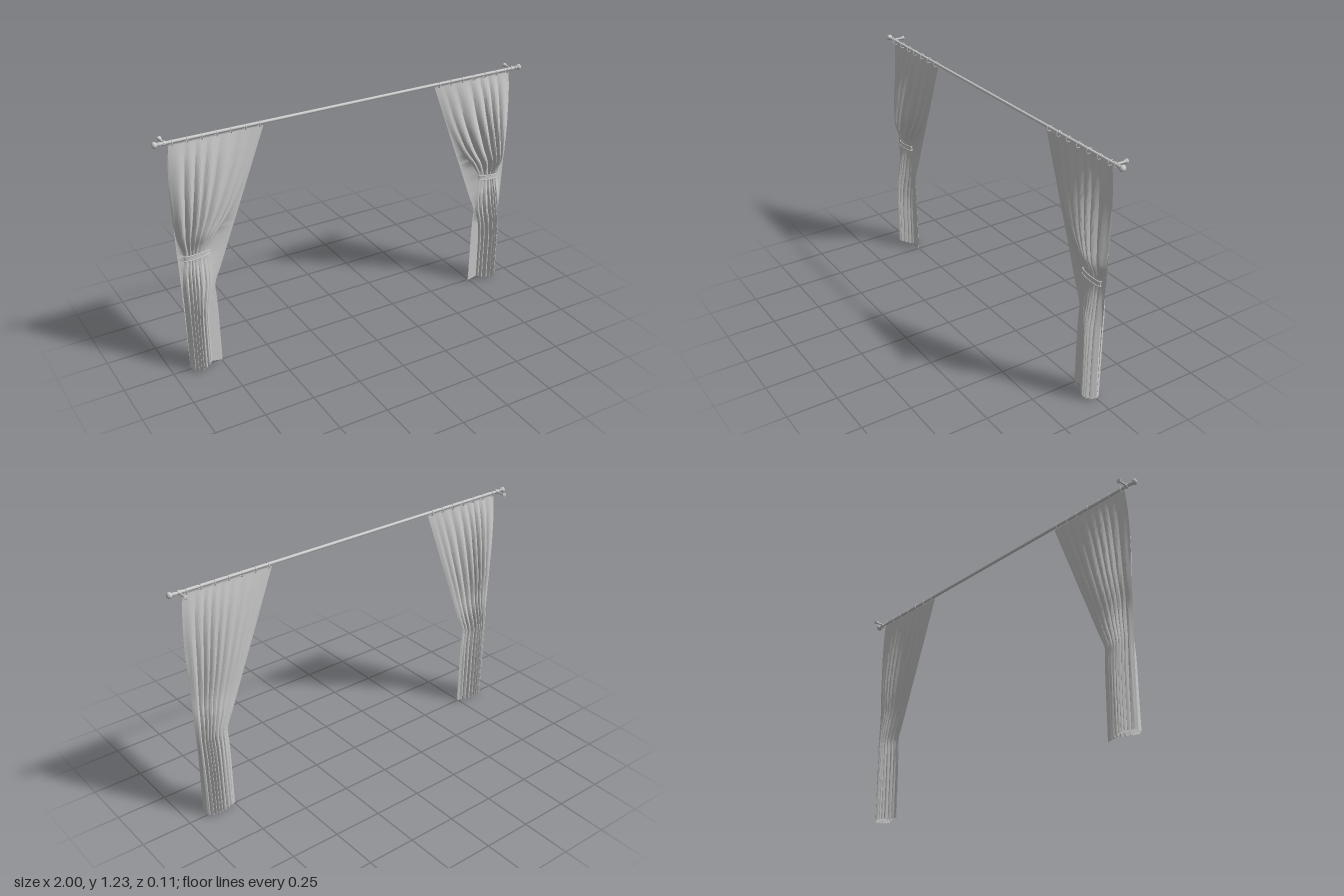
import * as THREE from 'three';
import { toCreasedNormals } from 'three/addons/utils/BufferGeometryUtils.js';

const ROD_Y = 1.21, ROD_Z = 0.004;
const grey = new THREE.MeshStandardMaterial({ color: 0xcccccc });
const cloth = new THREE.MeshStandardMaterial({ color: 0xcccccc, side: THREE.DoubleSide });

function part(name, geometry, material = grey) {
  const mesh = new THREE.Mesh(geometry, material);
  mesh.name = name;
  return mesh;
}

const lathe = (points, segments = 20) =>
  new THREE.LatheGeometry(points.map(([r, y]) => new THREE.Vector2(r, y)), segments);

// Curtain levels from hem to heading:
// y, front inner x, front outer x, front z, back inner x, back outer x, back z
const LEVELS = [
  [0.00, 0.800, 0.915, 0.054, 0.745, 0.915, -0.032],
  [0.15, 0.800, 0.915, 0.053, 0.747, 0.917, -0.031],
  [0.30, 0.797, 0.916, 0.052, 0.749, 0.920, -0.029],
  [0.38, 0.785, 0.917, 0.049, 0.752, 0.922, -0.027],
  [0.44, 0.772, 0.917, 0.040, 0.755, 0.924, -0.026],
  [0.53, 0.768, 0.912, 0.026, 0.721, 0.927, -0.023],
  [0.59, 0.774, 0.902, 0.015, 0.698, 0.929, -0.018],
  [0.63, 0.775, 0.900, 0.018, 0.683, 0.931, -0.016],
  [0.67, 0.756, 0.910, 0.028, 0.668, 0.932, -0.018],
  [0.72, 0.722, 0.925, 0.049, 0.649, 0.934, -0.022],
  [0.80, 0.655, 0.936, 0.055, 0.618, 0.936, -0.026],
  [0.90, 0.594, 0.940, 0.051, 0.580, 0.938, -0.025],
  [1.00, 0.545, 0.940, 0.040, 0.542, 0.939, -0.021],
  [1.10, 0.506, 0.936, 0.027, 0.504, 0.935, -0.014],
  [1.195, 0.468, 0.926, 0.010, 0.468, 0.926, -0.003],
];

// Rounded pleats with creased valleys, swelling towards the outer edge
function pleatDepth(u, folds, depth) {
  const swell = Math.sqrt(Math.max(0, Math.sin(Math.PI * Math.pow(u, 1.6))));
  const phase = folds * u + 0.22 * Math.sin(u * 9);
  return swell * (1 - depth * (1 - Math.abs(Math.sin(Math.PI * phase))));
}

// Closed loop of pleated cloth, lofted through the levels
function curtainGeometry(side) {
  const spline = new THREE.CubicInterpolant(
    LEVELS.map((l) => l[0]), LEVELS.flatMap((l) => l.slice(1)), 6);
  const rows = 72, across = 110, ring = 2 * (across + 1);
  const positions = [], indices = [];
  const mid = ROD_Z;
  for (let j = 0; j <= rows; j++) {
    const y = 1.195 * j / rows;
    const [fi, fo, fz, bi, bo, bz] = spline.evaluate(y);
    const hem = 0.01 * Math.max(0, 1 - y / 0.3);
    for (let i = 0; i <= across; i++) {
      const u = i / across;
      const z = mid + (fz - mid) * pleatDepth(u, 7, 0.5);
      positions.push(side * (fi + (fo - fi) * u), y + hem, z);
    }
    for (let i = across; i >= 0; i--) {
      const u = i / across;
      const z = mid + (bz - mid) * pleatDepth(u, 9, 0.55);
      positions.push(side * (bi + (bo - bi) * u), y + hem * u, z);
    }
  }
  for (let j = 0; j < rows; j++) {
    for (let i = 0; i < ring; i++) {
      const k = (i + 1) % ring;
      const a = j * ring + i, b = j * ring + k, c = a + ring, d = b + ring;
      if (side > 0) indices.push(a, b, d, a, d, c);
      else indices.push(a, d, b, a, c, d);
    }
  }
  const geometry = new THREE.BufferGeometry();
  geometry.setAttribute('position', new THREE.Float32BufferAttribute(positions, 3));
  geometry.setIndex(indices);
  return toCreasedNormals(geometry, 0.8);
}

// Flattened band with rolled edges around the gathered front
function tieback(side) {
  const group = new THREE.Group();
  group.name = 'tieback';
  group.add(part('tiebackBand', new THREE.CylinderGeometry(1, 1, 0.024, 40, 1, true)
    .scale(0.064, 1, 0.014), cloth));
  for (const y of [-0.012, 0.012]) {
    const edge = new THREE.EllipseCurve(0, 0, 0.064, 0.014).getPoints(40)
      .slice(0, 40).map((p) => new THREE.Vector3(p.x, y, p.y));
    group.add(part('tiebackEdge', new THREE.TubeGeometry(
      new THREE.CatmullRomCurve3(edge, true), 60, 0.003, 6, true)));
  }
  group.position.set(side * 0.837, 0.625, 0.009);
  group.rotation.z = side * -0.07;
  return group;
}

function curtainSide(side) {
  const group = new THREE.Group();
  group.name = side > 0 ? 'leftCurtain' : 'rightCurtain';
  group.add(part('curtainPanel', curtainGeometry(side), cloth), tieback(side));

  // Hanging rings
  for (let i = 0; i < 7; i++) {
    const ring = part('curtainRing', new THREE.TorusGeometry(0.0135, 0.002, 8, 24));
    ring.rotation.y = Math.PI / 2;
    ring.position.set(side * (0.49 + i * 0.07), ROD_Y - 0.004, ROD_Z);
    group.add(ring);
  }

  // Finial on the rod end
  const finial = part('finial', lathe([
    [0, 0], [0.009, 0], [0.009, 0.008], [0.006, 0.01], [0.007, 0.014],
    [0.013, 0.019], [0.0155, 0.026], [0.013, 0.033], [0.007, 0.037], [0, 0.038],
  ]));
  finial.rotation.z = -side * Math.PI / 2;
  finial.position.set(side * 0.962, ROD_Y, ROD_Z);
  group.add(finial);

  // Wall bracket reaching back from the rod
  const bracket = part('wallBracket', lathe([
    [0, 0], [0.005, 0], [0.005, 0.047], [0.009, 0.052], [0.011, 0.058],
    [0.011, 0.062], [0, 0.062],
  ]));
  bracket.rotation.x = -Math.PI / 2;
  bracket.position.set(side * 0.943, ROD_Y, ROD_Z);
  const collar = part('bracketCollar', new THREE.CylinderGeometry(0.011, 0.011, 0.012, 20));
  collar.rotation.z = Math.PI / 2;
  collar.position.copy(bracket.position);
  group.add(bracket, collar);
  return group;
}

export function createModel() {
  const model = new THREE.Group();
  model.name = 'curtains';
  const rod = part('curtainRod', new THREE.CylinderGeometry(0.0075, 0.0075, 1.93, 20));
  rod.rotation.z = Math.PI / 2;
  rod.position.set(0, ROD_Y, ROD_Z);
  model.add(rod, curtainSide(1), curtainSide(-1));
  return model;
}
